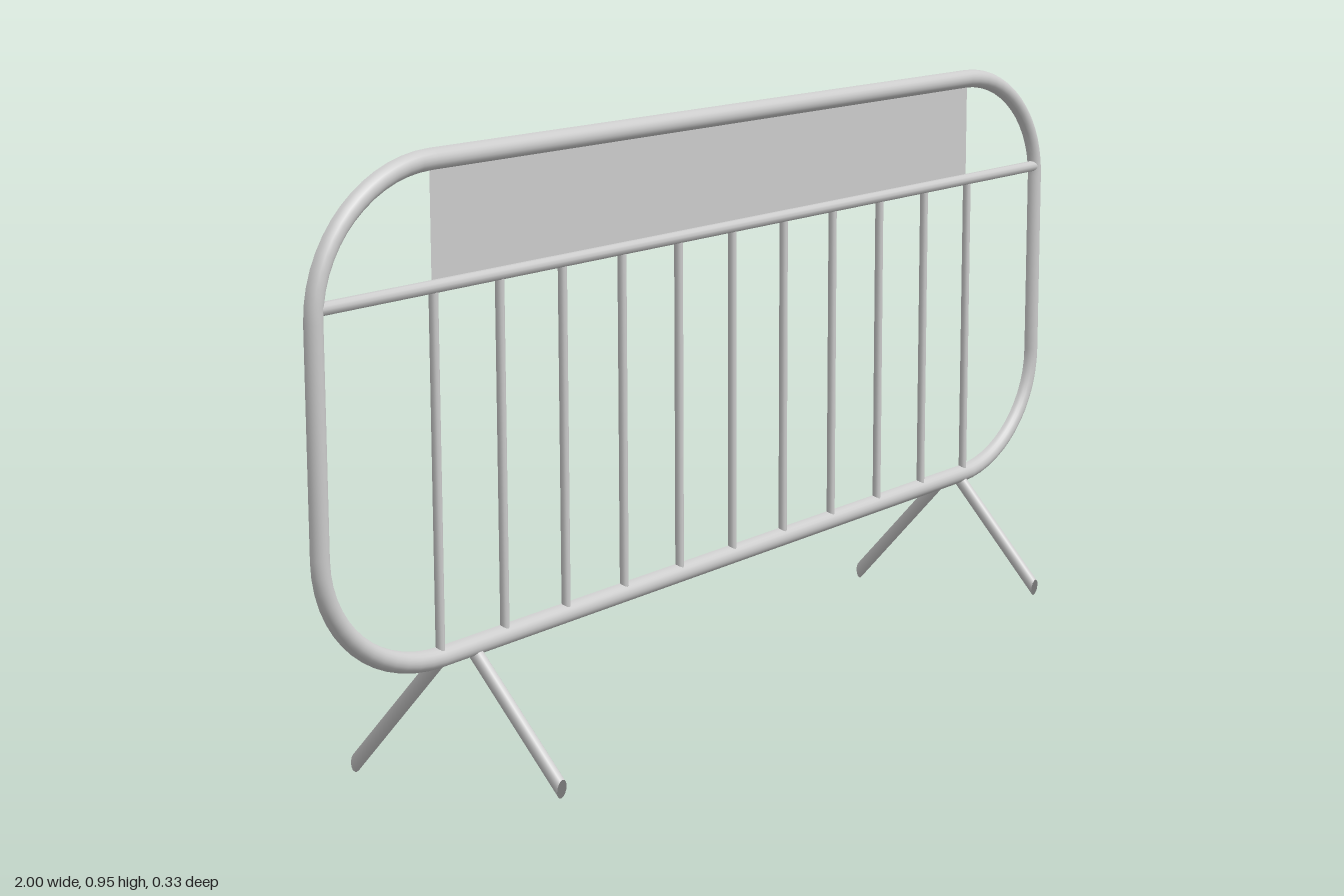
import * as THREE from 'three';

const metal = new THREE.MeshStandardMaterial({ color: 0xcccccc, side: THREE.DoubleSide });

// Rounded rectangle centreline of the frame, listed counter-clockwise
function framePath(x, y0, y1, rx, ry) {
  const k = 0.45, s = new THREE.Shape();
  s.moveTo(-x + rx, y0);
  s.lineTo(x - rx, y0);
  s.bezierCurveTo(x - k * rx, y0, x, y0 + k * ry, x, y0 + ry);
  s.lineTo(x, y1 - ry);
  s.bezierCurveTo(x, y1 - k * ry, x - k * rx, y1, x - rx, y1);
  s.lineTo(-x + rx, y1);
  s.bezierCurveTo(-x + k * rx, y1, -x, y1 - k * ry, -x, y1 - ry);
  s.lineTo(-x, y0 + ry);
  s.bezierCurveTo(-x, y0 + k * ry, -x + k * rx, y0, -x + rx, y0);
  const pts = s.getPoints(14);
  return pts.filter((p, i) => i === 0 || p.distanceTo(pts[i - 1]) > 1e-5)
    .filter((p, i, a) => i === 0 || p.distanceTo(a[0]) > 1e-5);
}

// Half-round channel swept along a closed flat path, open at the back
function halfTube(path, r, depth, sides) {
  const pos = [], idx = [], n = path.length, w = sides + 1;
  path.forEach((p, i) => {
    const t = path[(i + 1) % n].clone().sub(p).normalize()
      .add(p.clone().sub(path[(i + n - 1) % n]).normalize()).normalize();
    for (let j = 0; j <= sides; j++) {
      const a = Math.PI * j / sides, o = r * Math.cos(a);
      pos.push(p.x + t.y * o, p.y - t.x * o, depth * Math.sin(a));
      if (j < sides) {
        const A = i * w + j, B = ((i + 1) % n) * w + j;
        idx.push(A, B, B + 1, A, B + 1, A + 1);
      }
    }
  });
  const g = new THREE.BufferGeometry();
  g.setAttribute('position', new THREE.Float32BufferAttribute(pos, 3));
  g.setIndex(idx);
  g.computeVertexNormals();
  return g;
}

export function createModel() {
  const model = new THREE.Group();
  const add = (name, geo) => {
    const m = new THREE.Mesh(geo, metal);
    m.name = name;
    model.add(m);
    return m;
  };

  // Outer frame
  add('frame', halfTube(framePath(0.984, 0.192, 0.924, 0.25, 0.2), 0.016, 0.017, 10));

  // Horizontal rail
  const rail = add('rail', new THREE.CylinderGeometry(0.01, 0.01, 1.97, 12));
  rail.rotation.z = Math.PI / 2;
  rail.position.set(0, 0.742, 0.006);

  // Upright bars
  for (let i = 0; i < 11; i++) {
    const bar = add('bar', new THREE.CylinderGeometry(0.007, 0.007, 0.55, 10));
    bar.position.set(-0.737 + i * 0.1474, 0.467, 0.005);
  }

  // Sign panel between the top tube and the rail
  add('panel', new THREE.PlaneGeometry(1.474, 0.18)).position.set(0, 0.832, 0.002);

  // Splayed legs, the lower end cut level with the ground
  const tilt = 0.73, length = 0.25, r = 0.011;
  const addLeg = (x, side) => {
    const geo = new THREE.CylinderGeometry(r, r, length, 14);
    geo.translate(0, length / 2, 0);
    const p = geo.attributes.position;
    for (let i = 0; i < p.count; i++) {
      if (p.getY(i) < 0.001) p.setY(i, p.getZ(i) * side * Math.tan(tilt));
    }
    const leg = add(side > 0 ? 'frontLeg' : 'backLeg', geo);
    leg.rotation.x = -side * tilt;
    leg.position.set(x, 0, side * 0.165);
  };
  addLeg(-0.657, 1);
  addLeg(0.733, 1);
  addLeg(-0.74, -1);
  addLeg(0.653, -1);

  return model;
}
